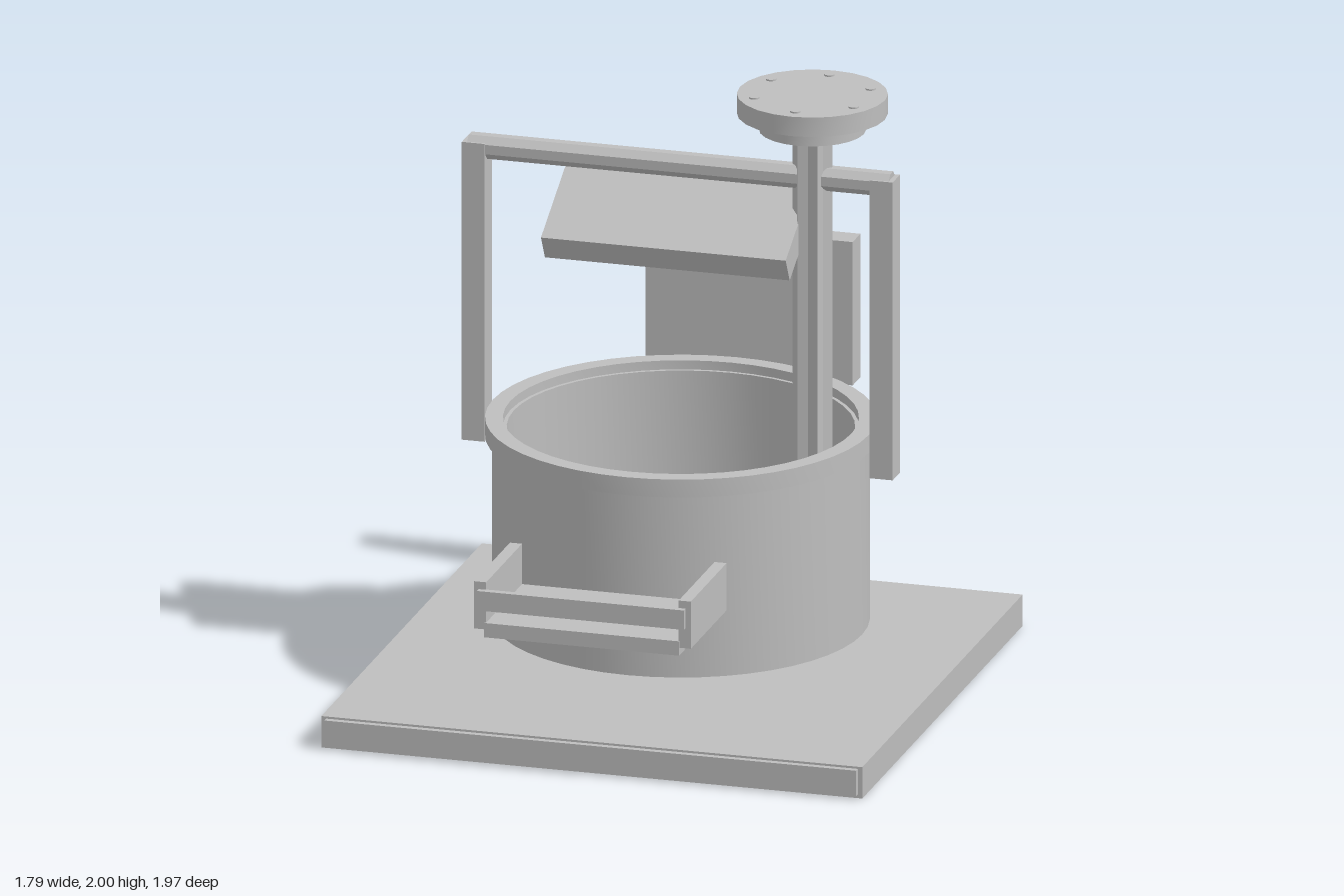
import * as THREE from 'three';
import { toCreasedNormals } from 'three/addons/utils/BufferGeometryUtils.js';

export function createModel() {
  const root = new THREE.Group();
  const gray = new THREE.MeshStandardMaterial({ color: 0xbebebe });
  gray.name = 'lightGray';
  const blue = new THREE.MeshStandardMaterial({ color: 0x5b8fac });
  blue.name = 'waterBlue';
  const axisZ = -0.13; // shared depth of tank, frame and pole

  function add(name, geometry, material = gray) {
    const mesh = new THREE.Mesh(geometry, material);
    mesh.name = name;
    root.add(mesh);
    return mesh;
  }
  // Box given by its minimum and maximum on each axis
  function box(name, x0, x1, y0, y1, z0, z1) {
    const mesh = add(name, new THREE.BoxGeometry(x1 - x0, y1 - y0, z1 - z0));
    mesh.position.set((x0 + x1) / 2, (y0 + y1) / 2, (z0 + z1) / 2);
    return mesh;
  }
  // Upright cylinder between two heights
  function disc(name, r, y0, y1, x, z, sides, material) {
    const geo = toCreasedNormals(new THREE.CylinderGeometry(r, r, y1 - y0, sides), 0.6);
    const mesh = add(name, geo, material);
    mesh.position.set(x, (y0 + y1) / 2, z);
    return mesh;
  }

  // Base plate with a front lip
  box('basePlate', -0.895, 0.895, 0, 0.105, -0.925, 0.865);
  box('baseFrontLip', -0.88, 0.88, 0.012, 0.098, 0.865, 0.885);

  // Tank with rim and stepped inside
  const profile = [
    [0, 0.2], [0.6, 0.2], [0.6, 0.81], [0.622, 0.81], [0.622, 0.87], [0.565, 0.87],
    [0.565, 0.84], [0.553, 0.84], [0.553, 0.23], [0.535, 0.23], [0.535, 0.21], [0, 0.21],
  ].map(([x, y]) => new THREE.Vector2(x, y));
  const tank = add('tank', toCreasedNormals(new THREE.LatheGeometry(profile, 48), 0.6));
  tank.position.z = axisZ;
  disc('water', 0.535, 0.212, 0.226, 0, axisZ, 32, blue);

  // Frame: two hanging posts and a faceted crossbeam
  for (const s of [-1, 1]) {
    box('framePost', s * 0.675 - 0.038, s * 0.675 + 0.038, 0.74, 1.737, -0.17, -0.088);
  }
  const beamGeo = new THREE.CylinderGeometry(0.041, 0.041, 1.395, 8).toNonIndexed();
  beamGeo.rotateY(Math.PI / 8);
  beamGeo.rotateZ(Math.PI / 2);
  beamGeo.computeVertexNormals();
  add('crossBeam', beamGeo).position.set(0, 1.717, axisZ);

  // Tilted paddle under the beam
  const paddle = add('tiltedPaddle', new THREE.BoxGeometry(0.81, 0.092, 0.4));
  paddle.position.set(0, 1.553, axisZ);
  paddle.rotation.x = 0.507;

  // Fluted pole with a bolted cap
  const poleX = 0.435;
  const star = new THREE.Shape();
  for (let i = 0; i < 12; i++) {
    const a = (i * Math.PI) / 6;
    const r = i % 2 ? 0.05 : 0.066;
    star[i ? 'lineTo' : 'moveTo'](r * Math.cos(a), r * Math.sin(a));
  }
  star.closePath();
  const poleGeo = new THREE.ExtrudeGeometry(star, { depth: 1.67, bevelEnabled: false });
  poleGeo.rotateX(-Math.PI / 2);
  add('flutedPole', poleGeo).position.set(poleX, 0.21, axisZ);
  disc('capCollar', 0.17, 1.875, 1.93, poleX, axisZ, 24);
  disc('capDisc', 0.24, 1.93, 1.995, poleX, axisZ, 24);
  for (let i = 0; i < 6; i++) {
    const a = (i * Math.PI) / 3;
    disc('capBolt', 0.017, 1.925, 2, poleX + 0.19 * Math.sin(a), axisZ + 0.19 * Math.cos(a), 12);
  }

  // Front tray: floor, two sides and a front bar
  box('trayFloor', -0.325, 0.32, 0.457, 0.505, 0.565, 0.97);
  box('trayLeftSide', 0.317, 0.357, 0.482, 0.64, 0.565, 0.965);
  box('trayRightSide', -0.36, -0.32, 0.482, 0.64, 0.565, 0.965);
  box('trayFrontBar', -0.345, 0.34, 0.55, 0.615, 0.962, 0.985);

  // Rear panel
  box('rearPanel', -0.345, 0.34, 0.76, 1.24, -0.987, -0.9);

  return root;
}
